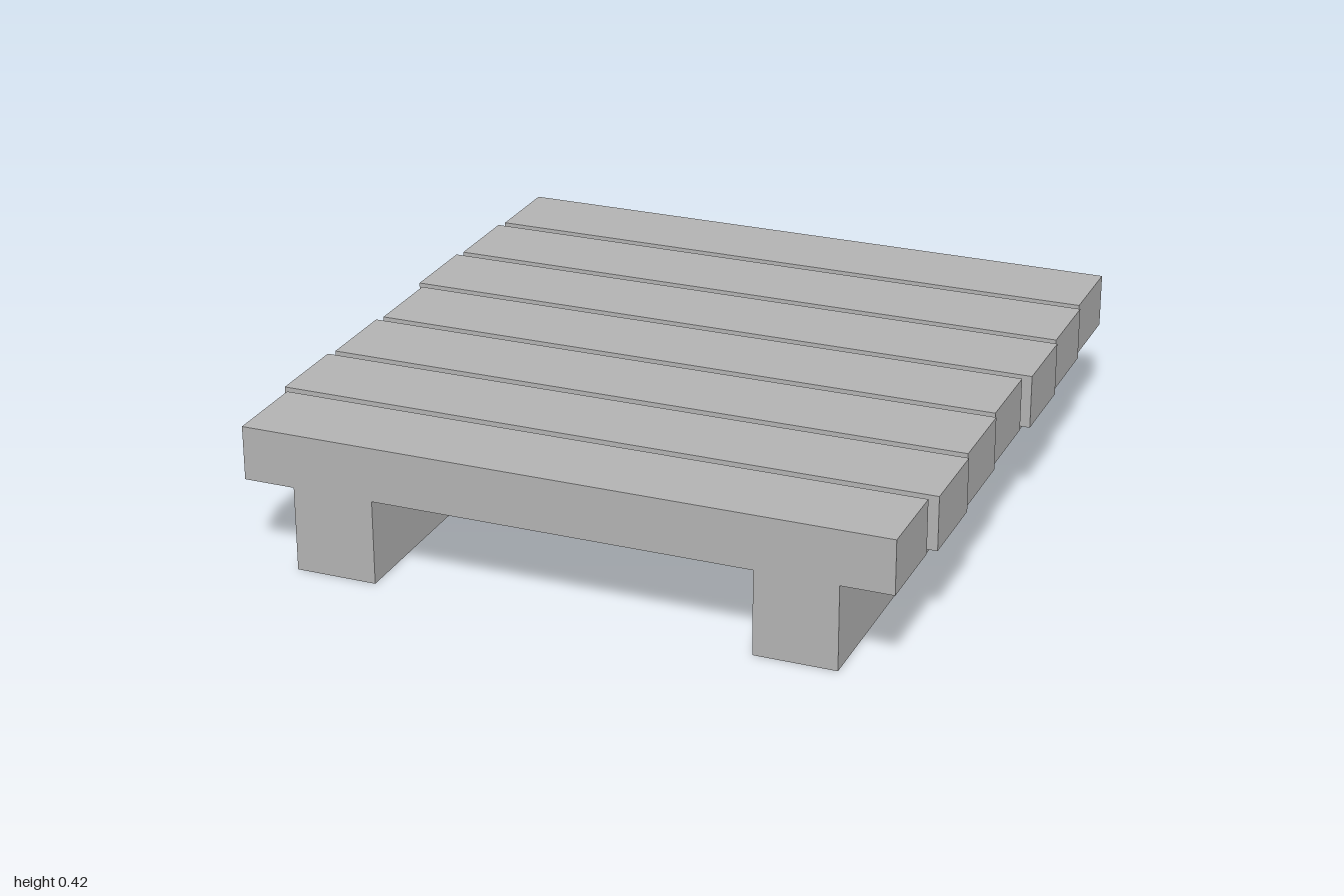
import * as THREE from 'three';

export function createModel() {
  const group = new THREE.Group();
  group.name = 'slattedPlatform';
  const greyWood = new THREE.MeshStandardMaterial({ color: 0xb2b2b2 });
  greyWood.name = 'grey wood';

  const addBox = (name, size, position) => {
    const mesh = new THREE.Mesh(new THREE.BoxGeometry(...size), greyWood);
    mesh.name = name;
    mesh.position.set(...position);
    group.add(mesh);
  };

  // Two bearers running front to back, let slightly into the planks
  const railHeight = 0.266;
  for (const side of [-1, 1]) {
    addBox(side > 0 ? 'leftBearer' : 'rightBearer',
      [0.243, railHeight, 2], [side * 0.686, railHeight / 2, 0]);
  }

  // Seven planks from back to front, with three repeating lengths
  const count = 7, depth = 0.263, bottom = 0.254, top = 0.416;
  const pitch = (2 - depth) / (count - 1);
  const lengths = [1.922, 1.944, 1.966];
  for (let i = 0; i < count; i++) {
    addBox(`plank${i + 1}`, [lengths[i % 3], top - bottom, depth],
      [0, (top + bottom) / 2, -1 + depth / 2 + i * pitch]);
  }
  return group;
}
